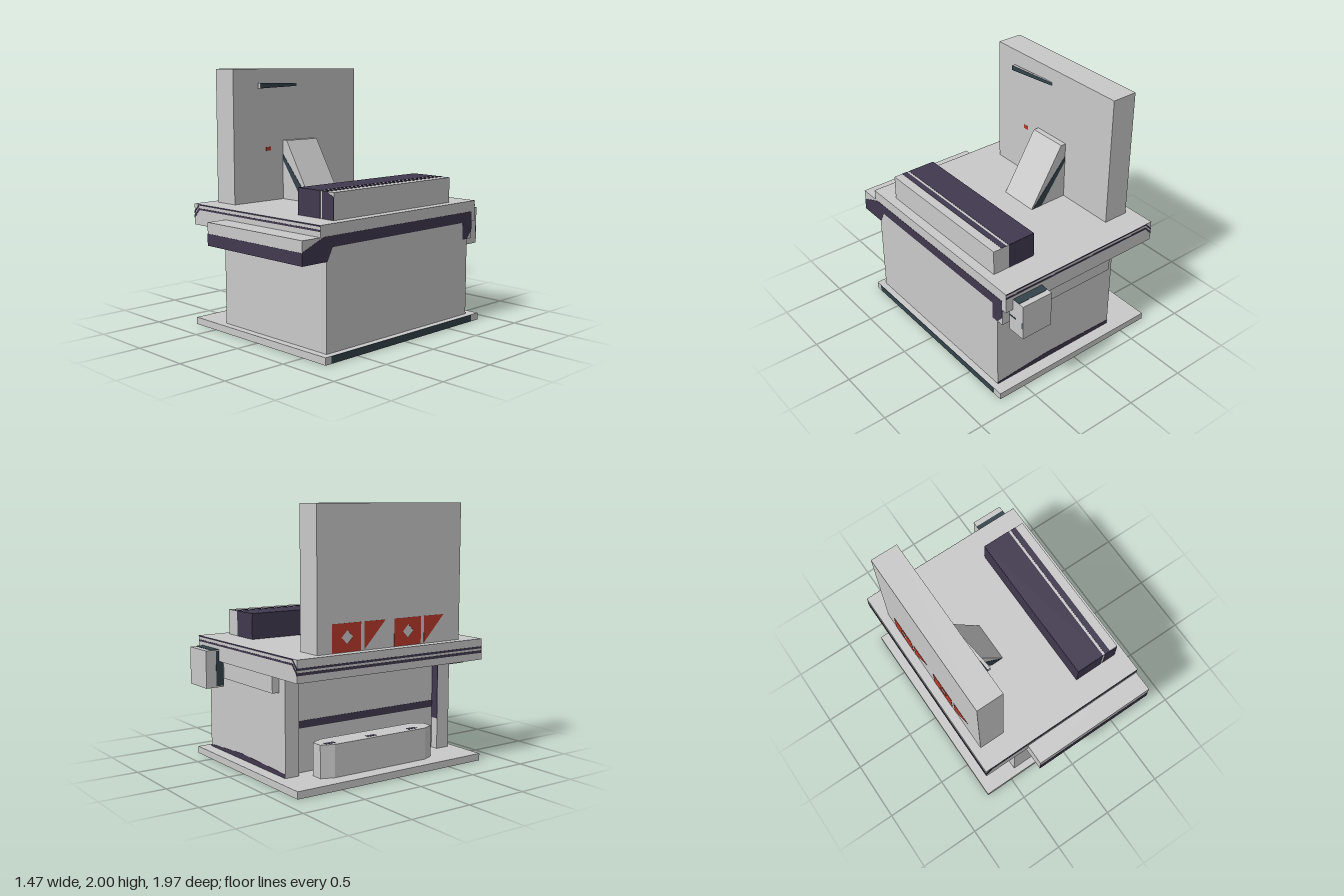
import * as THREE from 'three';

const mat = (name, color) => {
  const m = new THREE.MeshStandardMaterial({ color });
  m.name = name;
  return m;
};

export function createModel() {
  const grey = mat('panel grey', 0xc9c9c9);
  const purple = mat('dark purple', 0x41394f);
  const teal = mat('dark teal', 0x33434b);
  const red = mat('warning red', 0xb83a2a);
  const model = new THREE.Group();

  const add = (name, geometry, material) => {
    const mesh = new THREE.Mesh(geometry, material);
    mesh.name = name;
    model.add(mesh);
    return mesh;
  };
  // Box given by its limits on each axis
  const box = (name, [x0, x1], [y0, y1], [z0, z1]) =>
    add(name, new THREE.BoxGeometry(x1 - x0, y1 - y0, z1 - z0)
      .translate((x0 + x1) / 2, (y0 + y1) / 2, (z0 + z1) / 2), grey);

  // Prism centred at `at` along an axis. Outline: x = (z,y), y = (x,z), z = (x,y)
  const prism = (name, axis, at, depth, points, material = grey, hole) => {
    const shape = new THREE.Shape(points.map(p => new THREE.Vector2(...p)));
    if (hole) shape.holes.push(new THREE.Path(hole.map(p => new THREE.Vector2(...p))));
    const g = new THREE.ExtrudeGeometry(shape, { depth, bevelEnabled: false });
    g.translate(0, 0, -depth / 2);
    if (axis === 'x') g.rotateY(-Math.PI / 2).translate(at, 0, 0);
    if (axis === 'y') g.rotateX(Math.PI / 2).translate(0, at, 0);
    if (axis === 'z') g.translate(0, 0, at);
    return add(name, g, material);
  };
  const T = 0.004;
  const plate = (name, axis, at, points, material, hole) =>
    prism(name, axis, at, T, points, material, hole);
  const rect = (a0, a1, b0, b1) => [[a0, b0], [a1, b0], [a1, b1], [a0, b1]];

  // Base and cabinet, with a shallow recess on the operator side
  box('basePlate', [-0.74, 0.73], [0, 0.055], [-0.875, 0.815]);
  plate('baseEdge', 'x', 0.73, rect(-0.79, 0.76, 0.002, 0.055), teal);
  box('cabinet', [-0.37, 0.68], [0.055, 0.8], [-0.78, 0.758]);
  for (const [z0, z1] of [[-0.78, -0.665], [0.64, 0.758]])
    box('cabinetPost', [-0.435, -0.37], [0.055, 0.8], [z0, z1]);
  plate('recessJamb', 'z', 0.64, rect(-0.435, -0.37, 0.3, 0.8), purple);
  plate('recessStripe', 'x', -0.37, rect(-0.66, 0.64, 0.385, 0.44), purple);
  plate('cabinetBackTrim', 'z', -0.78,
    [[-0.43, 0.055], [0.68, 0.055], [0.68, 0.07], [0.2, 0.1], [-0.43, 0.085]], purple);

  // Countertop with two stripes that bend down toward the operator end
  box('countertop', [-0.74, 0.68], [0.8, 0.963], [-0.875, 0.815]);
  for (const [y, h] of [[0.953, 0.01], [0.918, 0.014]]) {
    const low = y - 0.065;
    for (const z of [-0.875, 0.815])
      plate('counterStripe', 'z', z, [[-0.74, low], [-0.68, y], [0.68, y],
        [0.68, y + h], [-0.685, y + h], [-0.74, low + h + 0.008]], purple);
    plate('counterEndStripe', 'x', -0.74, rect(-0.875, 0.815, low, low + h + 0.006), purple);
  }

  // Front shelf and rear rail
  box('frontShelf', [-0.355, 0.68], [0.705, 0.88], [0.758, 0.98]);
  plate('shelfFront', 'z', 0.98, rect(-0.355, 0.68, 0.705, 0.795), purple);
  prism('rearRail', 'x', 0.1625, 1.035,
    [[-0.78, 0.665], [-0.78, 0.8], [-0.835, 0.8], [-0.835, 0.665]]);

  // Purple band on the customer side, from shelf end to rear rail
  plate('sideBand', 'x', 0.68, [[0.98, 0.705], [0.98, 0.8], [0.78, 0.88], [-0.835, 0.88],
    [-0.835, 0.73], [-0.78, 0.665], [-0.725, 0.665], [-0.725, 0.8],
    [0.7, 0.8], [0.75, 0.705]], purple);

  // Tall back wall with warning signs
  box('wall', [-0.67, -0.46], [0.963, 2], [-0.665, 0.64]);
  for (const z of [-0.54, 0.01]) {
    const c = z + 0.13;
    plate('signSquare', 'x', -0.67, rect(z, z + 0.25, 0.965, 1.17), red,
      [[c - 0.05, 1.07], [c, 1.12], [c + 0.05, 1.07], [c, 1.02]]);
    plate('signTriangle', 'x', -0.67, [[z + 0.28, 0.97], [z + 0.47, 1.17], [z + 0.28, 1.17]], red);
  }
  plate('smallSign', 'x', -0.46, rect(0.27, 0.32, 1.36, 1.39), red);

  // Sloping support in front of the wall
  prism('slopedSupport', 'z', -0.0175, 0.325,
    [[-0.46, 0.963], [-0.13, 0.963], [-0.415, 1.435], [-0.46, 1.435]]);
  for (const z of [-0.18, 0.145])
    plate('supportStripe', 'z', z,
      [[-0.46, 1.28], [-0.23, 0.963], [-0.14, 0.963], [-0.46, 1.325]], teal);

  // Thin lever swung out from the wall, tapering to its hinge
  const lever = new THREE.BoxGeometry(0.025, 0.04, 0.415).translate(0, 1.87, 0.2075);
  const p = lever.attributes.position;
  for (let i = 0; i < p.count; i++) {
    const hinge = p.getZ(i) < 0.1;
    p.setX(i, p.getX(i) * (hinge ? 0.4 : 1) + (hinge ? -0.46 : -0.4225));
    if (hinge) p.setY(i, 1.875 + (p.getY(i) - 1.87) * 0.6);
  }
  lever.computeVertexNormals();
  add('lever', lever, [teal, teal, grey, grey, grey, grey]);

  // Long housing on the counter with purple cladding
  box('housing', [0.24, 0.605], [0.963, 1.16], [-0.645, 0.615]);
  plate('housingTop', 'y', 1.16, rect(0.24, 0.47, -0.645, 0.615), purple);
  plate('housingTopStripe', 'y', 1.16, rect(0.49, 0.535, -0.645, 0.615), purple);
  plate('housingSide', 'x', 0.24, rect(-0.645, 0.615, 0.963, 1.16), purple);
  for (const z of [-0.645, 0.615])
    plate('housingEnd', 'z', z, rect(0.24, 0.47, 0.963, 1.16), purple);
  plate('housingEndTrim', 'z', 0.615,
    [[0.49, 0.963], [0.605, 0.963], [0.605, 1.125], [0.54, 1.16], [0.49, 1.16]], purple);

  // Eight-sided footrest block with small marks on top
  prism('footBlock', 'y', 0.1775, 0.245, [[-0.62, -0.48], [-0.58, -0.58], [-0.485, -0.58],
    [-0.435, -0.48], [-0.435, 0.36], [-0.485, 0.45], [-0.58, 0.45], [-0.62, 0.36]]);
  for (const z of [-0.49, -0.12, 0.265])
    plate('footMark', 'y', 0.3, rect(-0.585, -0.55, z - 0.04, z + 0.04), purple);

  // Equipment box hung on the rear
  box('rearBox', [0.355, 0.615], [0.6, 0.89], [-0.985, -0.835]);
  plate('rearBoxTop', 'y', 0.89, rect(0.355, 0.615, -0.94, -0.875), teal);
  plate('rearBoxSide', 'x', 0.355, rect(-0.9, -0.84, 0.61, 0.88), teal);
  plate('rearBoxSlot', 'x', 0.615, rect(-0.91, -0.835, 0.727, 0.739), teal);
  plate('rearBoxNotch', 'x', 0.615, rect(-0.982, -0.972, 0.69, 0.74), teal);

  return model;
}
